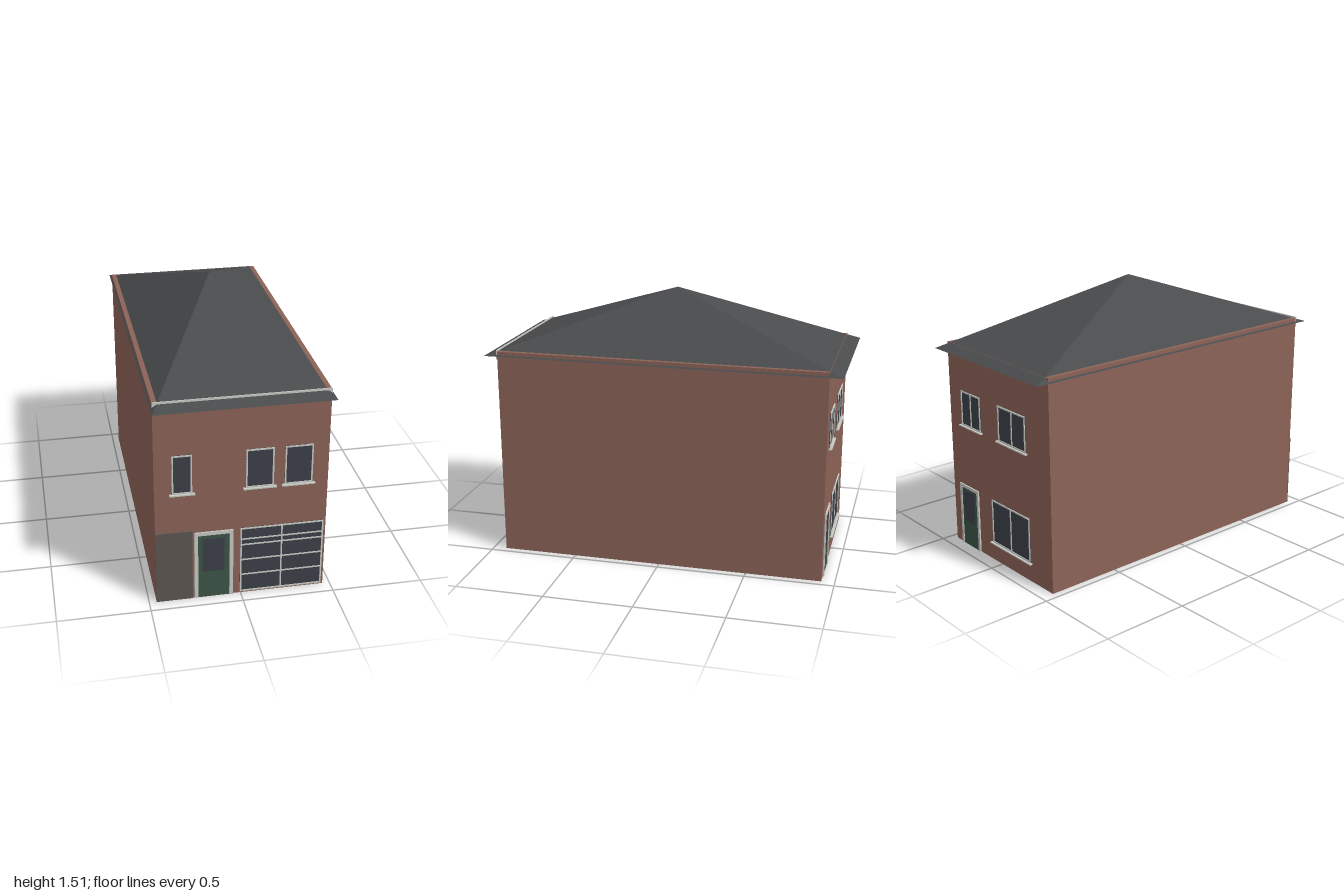
import * as THREE from 'three';

const mat = (color, side = THREE.FrontSide) =>
  new THREE.MeshStandardMaterial({ color, side, flatShading: true });
const brick = mat(0x8c6357, THREE.DoubleSide);
const slate = mat(0x4a4b4d);
const white = mat(0xc8cac4);
const glass = mat(0x3c4148);
const green = mat(0x3c5448);
const cladding = mat(0x5c5650);

const W = 0.46, D = 0.925, WALL_TOP = 1.19;

// Thin slab standing proud of a facade at z = 0, given by its edges
function slab(name, x0, x1, y0, y1, depth, material) {
  const m = new THREE.Mesh(new THREE.BoxGeometry(x1 - x0, y1 - y0, depth), material);
  m.position.set((x0 + x1) / 2, (y0 + y1) / 2, depth / 2);
  m.name = name;
  return m;
}

// Border of width t with an open middle
function frame(name, x0, x1, y0, y1, t, depth) {
  const rect = (S, a, b, c, d) =>
    new S([[a, c], [b, c], [b, d], [a, d]].map(p => new THREE.Vector2(...p)));
  const shape = rect(THREE.Shape, x0, x1, y0, y1);
  shape.holes.push(rect(THREE.Path, x0 + t, x1 - t, y0 + t, y1 - t));
  const m = new THREE.Mesh(new THREE.ExtrudeGeometry(shape, { depth, bevelEnabled: false }), white);
  m.name = name;
  return m;
}

// Window with pane, frame, glazing bars at the given x and y, and an optional sill
function makeWindow(name, x0, x1, y0, y1, { xBars = [], yBars = [], sill = true } = {}) {
  const g = new THREE.Group();
  g.name = name;
  g.add(slab('pane', x0, x1, y0, y1, 0.003, glass));
  g.add(frame('windowFrame', x0, x1, y0, y1, 0.008, 0.007));
  for (const x of xBars) g.add(slab('mullion', x - 0.004, x + 0.004, y0, y1, 0.0065, white));
  for (const y of yBars) g.add(slab('glazingBar', x0, x1, y - 0.004, y + 0.004, 0.006, white));
  if (sill) g.add(slab('sill', x0 - 0.014, x1 + 0.014, y0 - 0.007, y0, 0.018, white));
  return g;
}

// Door with a three-sided surround and a glazed panel
function makeDoor(name, x0, x1, top, t, [gx0, gx1, gy0, gy1]) {
  const g = new THREE.Group();
  g.name = name;
  g.add(slab('doorLeaf', x0 + t, x1 - t, 0, top - t, 0.004, green));
  g.add(slab('doorGlass', gx0, gx1, gy0, gy1, 0.006, glass));
  g.add(slab('jamb', x0, x0 + t, 0, top, 0.008, white));
  g.add(slab('jamb', x1 - t, x1, 0, top, 0.008, white));
  g.add(slab('lintel', x0 + t, x1 - t, top - t, top, 0.008, white));
  return g;
}

export function createModel() {
  const model = new THREE.Group();
  model.name = 'house';

  // Brick shell, open underneath
  const shell = new THREE.BoxGeometry(2 * W, WALL_TOP, 2 * D);
  const index = Array.from(shell.index.array);
  index.splice(18, 6); // drop the floor face
  shell.setIndex(index);
  const walls = new THREE.Mesh(shell, brick);
  walls.position.y = WALL_TOP / 2;
  walls.name = 'walls';
  model.add(walls);

  // Pyramid roof: four-sided cone stretched to the plan
  const cone = new THREE.ConeGeometry(Math.SQRT2, 0.35, 4);
  cone.rotateY(Math.PI / 4);
  cone.scale(0.47, 1, 1);
  const roof = new THREE.Mesh(cone.toNonIndexed(), slate);
  roof.geometry.computeVertexNormals();
  roof.position.y = 1.163 + 0.175;
  roof.name = 'roof';
  model.add(roof);

  // Street side
  const front = new THREE.Group();
  front.name = 'frontFacade';
  front.position.z = D;
  front.add(
    slab('fasciaBoard', -W, W, 1.145, 1.198, 0.006, white),
    slab('sidePanel', -W, -0.263, 0, 0.427, 0.006, cladding),
    makeDoor('frontDoor', -0.253, -0.043, 0.413, 0.02, [-0.21, -0.09, 0.165, 0.37]),
    makeWindow('shopWindow', -0.005, 0.448, 0.01, 0.415,
      { xBars: [0.22], yBars: [0.12, 0.215, 0.31, 0.345], sill: false }));
  for (const [x0, x1] of [[-0.368, -0.262], [0.02, 0.168], [0.226, 0.375]])
    front.add(makeWindow('upperWindow', x0, x1, 0.661, 0.886));
  model.add(front);

  // Garden side, laid out as seen from behind and turned round
  const back = new THREE.Group();
  back.name = 'backFacade';
  back.position.z = -D;
  back.rotation.y = Math.PI;
  back.add(
    makeDoor('backDoor', -0.394, -0.21, 0.37, 0.018, [-0.357, -0.25, 0.15, 0.335]),
    makeWindow('livingRoomWindow', -0.077, 0.27, 0.11, 0.367, { xBars: [0.097] }),
    makeWindow('upperWindow', -0.342, -0.16, 0.735, 0.935, { xBars: [-0.251] }),
    makeWindow('upperWindow', 0.01, 0.255, 0.735, 0.935, { xBars: [0.133] }));
  model.add(back);

  return model;
}
